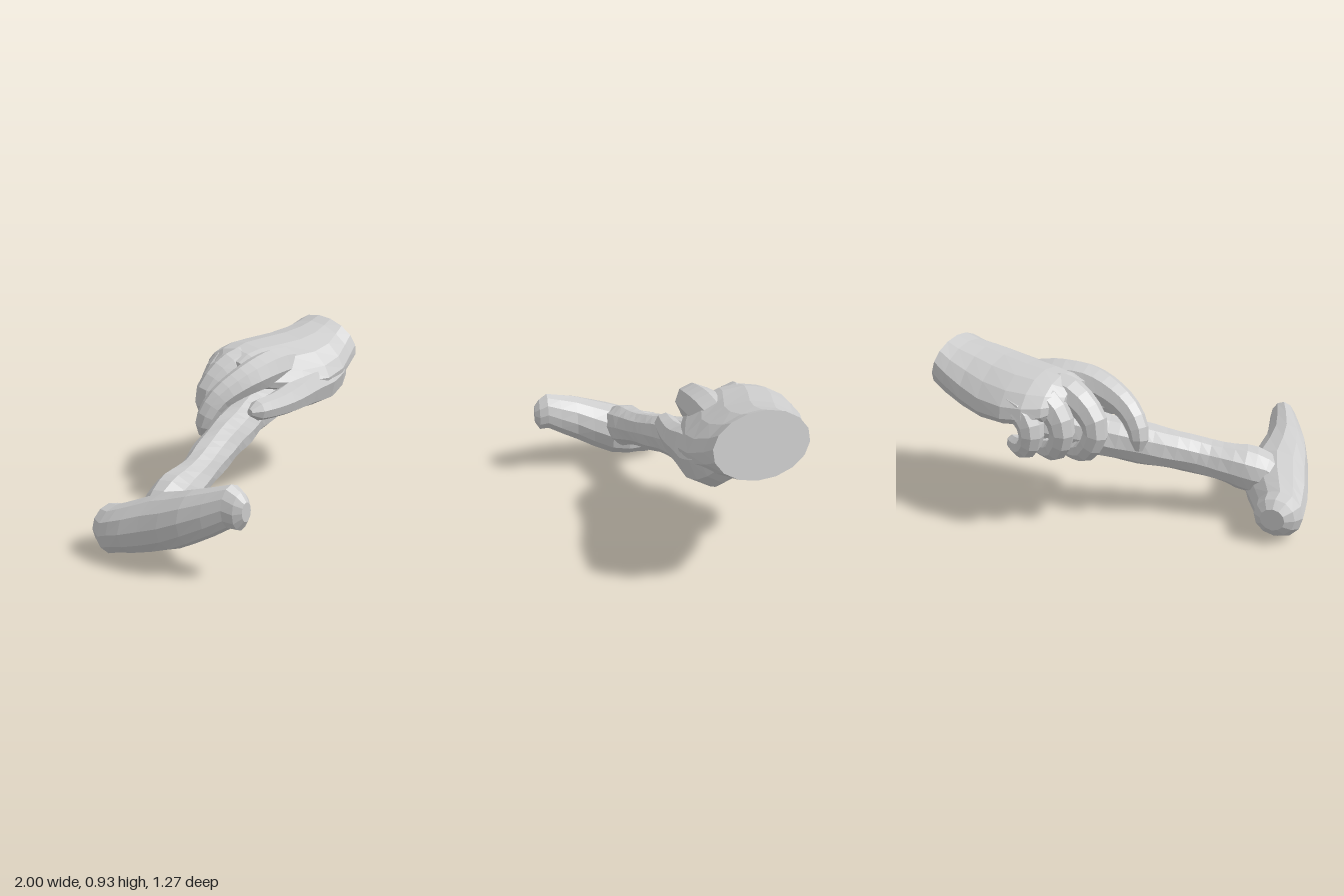
import * as THREE from 'three';

const V = (x, y, z) => new THREE.Vector3(x, y, z);

// Skin a list of equal-sized rings into a closed, faceted solid.
function loft(rings) {
  const n = rings[0].length, pos = [];
  const tri = (a, b, c) => pos.push(a, b, c);
  const middle = ring => ring.reduce((s, p) => s.add(p), V(0, 0, 0)).divideScalar(n);
  for (let i = 0; i < rings.length - 1; i++) {
    for (let j = 0; j < n; j++) {
      const k = (j + 1) % n, [a, b] = [rings[i], rings[i + 1]];
      tri(a[j], a[k], b[k]);
      tri(a[j], b[k], b[j]);
    }
  }
  const first = rings[0], last = rings[rings.length - 1];
  const c0 = middle(first), c1 = middle(last);
  for (let j = 0; j < n; j++) {
    const k = (j + 1) % n;
    tri(c0, first[k], first[j]);
    tri(c1, last[j], last[k]);
  }
  // turn the faces outward if the rings ran the other way round
  let volume = 0;
  for (let i = 0; i < pos.length; i += 3) volume += pos[i].dot(V(0, 0, 0).crossVectors(pos[i + 1], pos[i + 2]));
  if (volume < 0) pos.reverse();
  const geo = new THREE.BufferGeometry().setFromPoints(pos);
  geo.computeVertexNormals();
  return geo;
}

// Round limb through [x, y, z, radius] stations, with an optional knobbly surface.
function limb(stations, sides, steps, bump = 0) {
  const curve = new THREE.CatmullRomCurve3(stations.map(s => V(s[0], s[1], s[2])));
  const frames = curve.computeFrenetFrames(steps);
  const rings = [];
  for (let i = 0; i <= steps; i++) {
    const t = curve.getUtoTmapping(i / steps) * (stations.length - 1);
    const k = Math.min(Math.floor(t), stations.length - 2);
    const r = THREE.MathUtils.lerp(stations[k][3], stations[k + 1][3], t - k);
    const c = curve.getPointAt(i / steps);
    rings.push(oval(sides, (u, v, a) => {
      const q = r * (1 + bump * Math.sin(i * 1.3 + a * 2));
      return c.clone().addScaledVector(frames.normals[i], u * q).addScaledVector(frames.binormals[i], v * q);
    }));
  }
  return loft(rings);
}

// Oval ring; place(u, v, angle) maps unit-circle coordinates to a point.
function oval(sides, place) {
  return Array.from({ length: sides }, (_, j) => {
    const a = (j / sides) * Math.PI * 2;
    return place(Math.cos(a), Math.sin(a), a);
  });
}

export function createModel() {
  const model = new THREE.Group();
  const material = new THREE.MeshStandardMaterial({ color: 0xcccccc, flatShading: true });
  const add = (name, geometry, parent = model) => {
    const mesh = new THREE.Mesh(geometry, material);
    mesh.name = name;
    parent.add(mesh);
  };

  // Head of the tool: [z, x, y, half width, half height]
  const head = [
    [0.64, -0.68, 0.38, 0.03, 0.05],
    [0.61, -0.685, 0.375, 0.06, 0.095],
    [0.56, -0.695, 0.39, 0.075, 0.11],
    [0.48, -0.73, 0.35, 0.095, 0.125],
    [0.38, -0.765, 0.305, 0.12, 0.14],
    [0.28, -0.775, 0.26, 0.15, 0.15],
    [0.17, -0.775, 0.22, 0.18, 0.155],
    [0.06, -0.81, 0.18, 0.175, 0.145],
    [-0.02, -0.845, 0.155, 0.15, 0.135],
    [-0.08, -0.87, 0.133, 0.13, 0.132],
    [-0.15, -0.865, 0.145, 0.11, 0.105],
    [-0.19, -0.865, 0.15, 0.065, 0.06],
  ];
  add('toolHead', loft(head.map(([z, x, y, w, h]) => oval(12, (u, v) => V(x + u * w, y + v * h, z)))));

  // Handle flares into the head and ends in a rounded butt under the palm
  add('toolHandle', limb([
    [-0.84, 0.21, 0.12, 0.06], [-0.74, 0.255, 0.115, 0.11], [-0.64, 0.28, 0.09, 0.128],
    [-0.54, 0.305, 0.06, 0.112], [-0.4, 0.335, 0.02, 0.1], [-0.2, 0.385, -0.06, 0.112],
    [0, 0.425, -0.13, 0.118], [0.2, 0.47, -0.2, 0.122], [0.36, 0.5, -0.24, 0.13],
    [0.47, 0.515, -0.265, 0.118], [0.53, 0.525, -0.28, 0.08], [0.56, 0.53, -0.285, 0.03],
  ], 10, 24, 0.035));

  const hand = new THREE.Group();
  hand.name = 'hand';
  model.add(hand);

  // Cupped palm and cut wrist: [x, y, z, half height, half depth, lean, droop of the sides]
  const palm = [
    [0.96, 0.78, -0.25, 0.155, 0.23, 0.26, 0],
    [0.88, 0.755, -0.25, 0.155, 0.255, 0.2, 0.02],
    [0.76, 0.735, -0.245, 0.155, 0.295, 0.1, 0.05],
    [0.62, 0.725, -0.265, 0.145, 0.325, 0, 0.07],
    [0.46, 0.725, -0.305, 0.13, 0.325, 0, 0.07],
    [0.34, 0.725, -0.325, 0.12, 0.3, 0, 0.06],
    [0.25, 0.725, -0.32, 0.1, 0.26, 0, 0.05],
    [0.18, 0.715, -0.29, 0.065, 0.18, 0, 0.03],
  ];
  add('palm', loft(palm.map(([x, y, z, h, d, lean, droop]) =>
    oval(16, (u, v) => V(x - lean * v * h, y + v * h - droop * u * u, z + u * d - 0.03 * v)))), hand);

  // Thumb with its heel, and fingers, from knuckle to tip
  const digits = {
    thumb: [
      [0.9, 0.73, -0.14, 0.08], [0.78, 0.65, -0.09, 0.13], [0.65, 0.61, -0.075, 0.142],
      [0.5, 0.595, -0.045, 0.115], [0.36, 0.575, -0.015, 0.088], [0.22, 0.565, -0.002, 0.071],
      [0.08, 0.565, 0, 0.06], [0.035, 0.565, 0, 0.047], [0.01, 0.565, 0, 0.02],
    ],
    indexFinger: [
      [0.5, 0.72, -0.17, 0.1], [0.36, 0.73, -0.15, 0.11], [0.2, 0.722, -0.13, 0.1],
      [0.05, 0.678, -0.15, 0.082], [-0.06, 0.615, -0.18, 0.067], [-0.12, 0.53, -0.205, 0.058],
      [-0.135, 0.46, -0.222, 0.047], [-0.135, 0.42, -0.23, 0.02],
    ],
    middleFinger: [
      [0.46, 0.72, -0.33, 0.06], [0.25, 0.742, -0.335, 0.092], [0.105, 0.67, -0.36, 0.077],
      [0.04, 0.57, -0.378, 0.068], [0.085, 0.455, -0.375, 0.062], [0.18, 0.395, -0.31, 0.053],
      [0.29, 0.38, -0.255, 0.044], [0.33, 0.378, -0.24, 0.018],
    ],
    ringFinger: [
      [0.5, 0.7, -0.44, 0.06], [0.32, 0.732, -0.455, 0.09], [0.215, 0.66, -0.47, 0.076],
      [0.182, 0.57, -0.48, 0.067], [0.222, 0.468, -0.465, 0.061], [0.32, 0.415, -0.39, 0.053],
      [0.43, 0.403, -0.33, 0.044], [0.475, 0.4, -0.315, 0.018],
    ],
    littleFinger: [
      [0.55, 0.66, -0.5, 0.05], [0.4, 0.692, -0.54, 0.082], [0.325, 0.63, -0.562, 0.072],
      [0.312, 0.55, -0.572, 0.064], [0.35, 0.485, -0.555, 0.058], [0.43, 0.455, -0.5, 0.05],
      [0.5, 0.447, -0.44, 0.041], [0.53, 0.445, -0.42, 0.018],
    ],
  };
  for (const [name, path] of Object.entries(digits)) add(name, limb(path, 8, path.length * 2 - 2), hand);

  return model;
}
